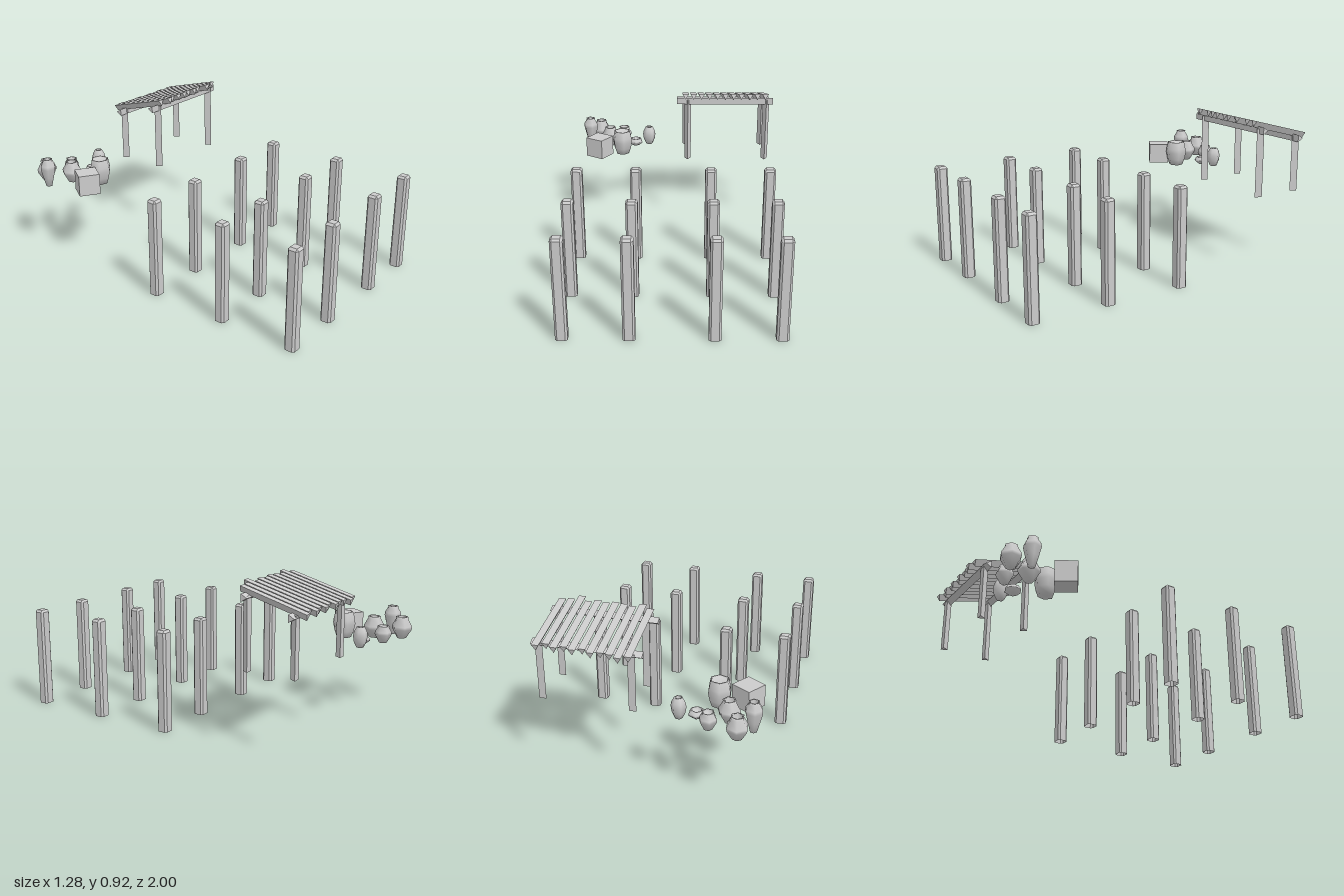
import * as THREE from 'three';

const smooth = new THREE.MeshStandardMaterial({ color: 0xcccccc, side: THREE.DoubleSide });
const flat = new THREE.MeshStandardMaterial({ color: 0xcccccc, side: THREE.DoubleSide, flatShading: true });
const FLOOR = 0.45; // level on which the shelter and the pots stand

function add(parent, name, geometry, material, x, y, z) {
  const mesh = new THREE.Mesh(geometry, material);
  mesh.name = name;
  mesh.position.set(x, y, z);
  parent.add(mesh);
  return mesh;
}

// Square post with chamfered corners, a bevelled top and an open foot
function postGeometry() {
  const ring = (h, c, y) => {
    const k = h - c;
    return [[h, -k], [h, k], [k, h], [-k, h], [-h, k], [-h, -k], [-k, -h], [k, -h]]
      .flatMap(([x, z]) => [x, y, z * 0.95]);
  };
  const positions = [...ring(0.034, 0.012, 0), ...ring(0.034, 0.012, 0.584), ...ring(0.022, 0, 0.597), 0, 0.597, 0];
  const index = [];
  for (let i = 0; i < 8; i++) {
    const j = (i + 1) % 8;
    for (const r of [0, 8]) index.push(r + i, r + 8 + i, r + j, r + j, r + 8 + i, r + 8 + j);
    index.push(16 + i, 24, 16 + j);
  }
  const g = new THREE.BufferGeometry();
  g.setAttribute('position', new THREE.Float32BufferAttribute(positions, 3));
  g.setIndex(index);
  g.computeVertexNormals();
  return g;
}

// Three-sided timber, upright with one edge toward +z
const timber = (length, r = 0.0245) => new THREE.CylinderGeometry(r, r, length, 3);

function createShelter() {
  const shelter = new THREE.Group();
  shelter.name = 'shelter';

  // Legs: taller pair at the front
  for (const [name, z, top, xs] of [['frontLeg', -0.53, 0.86, [0.08, 0.592]], ['backLeg', -0.813, 0.79, [0.068, 0.588]]]) {
    for (const x of xs) add(shelter, name, timber(top - FLOOR), flat, x, (top + FLOOR) / 2, z);
  }

  // Cross beams with a flat face to the front
  for (const [name, y, z] of [['frontBeam', 0.852, -0.529], ['backBeam', 0.778, -0.807]]) {
    add(shelter, name, timber(0.627).rotateY(Math.PI).rotateZ(Math.PI / 2), flat, 0.322, y, z);
  }

  // Sloping roof slats of uneven length, flat side up
  const slope = 0.265;
  const frontEnds = [-0.49, -0.46, -0.485, -0.475, -0.468, -0.48, -0.47, -0.485, -0.448, -0.48, -0.488];
  const backEnds = [-0.88, -0.897, -0.88, -0.875, -0.885, -0.865, -0.88, -0.865, -0.88, -0.86, -0.88];
  frontEnds.forEach((front, i) => {
    const z = (front + backEnds[i]) / 2;
    const length = (front - backEnds[i]) / Math.cos(slope);
    const y = 0.907 + 0.27 * (z + 0.447);
    const slat = add(shelter, 'roofSlat', timber(length).rotateX(Math.PI / 2), flat, 0.066 + i * 0.0517, y, z);
    slat.rotation.x = -slope;
  });
  return shelter;
}

// Six-sided pot: outer profile [radius, height], then a rim and a hollow down to the given depth
function potGeometry(profile, rimWidth, depth) {
  const [r, h] = profile[profile.length - 1];
  const inner = r - rimWidth;
  const points = [[0, 0], ...profile, [inner, h], [inner * 0.95, h - depth], [0, h - depth]];
  return new THREE.LatheGeometry(points.map(([x, y]) => new THREE.Vector2(x, y)), 6);
}

function createPots() {
  const pots = new THREE.Group();
  pots.name = 'pots';
  const jar = [[0.028, 0], [0.06, 0.055], [0.062, 0.073], [0.037, 0.118], [0.038, 0.13]];
  const specs = [
    // name, x, z, turn, rim width, hollow depth, profile
    ['barrelPot', -0.361, -0.632, 0.2, 0.008, 0.012, [[0.045, 0], [0.06, 0.04], [0.069, 0.085], [0.066, 0.11], [0.055, 0.157]]],
    ['wideJar', -0.528, -0.936, 0.15, 0.01, 0.06, jar],
    ['wideJar', -0.453, -0.788, 0.5, 0.01, 0.06, jar],
    ['tallJar', -0.594, -0.848, 0.3, 0.009, 0.07, [[0.02, 0], [0.036, 0.06], [0.05, 0.115], [0.048, 0.135], [0.03, 0.165], [0.031, 0.175]]],
    ['roundPot', -0.363, -0.886, 0.4, 0.008, 0.025, [[0.024, 0], [0.05, 0.05], [0.048, 0.065], [0.033, 0.09], [0.036, 0.1]]],
    ['shallowBowl', -0.278, -0.791, 0.1, 0.007, 0.02, [[0.024, 0], [0.05, 0.022], [0.047, 0.03], [0.035, 0.047]]],
    ['ovalJar', -0.186, -0.82, 0.6, 0.008, 0.05, [[0.022, 0], [0.038, 0.035], [0.043, 0.07], [0.038, 0.095], [0.024, 0.122]]],
  ];
  for (const [name, x, z, turn, rim, depth, profile] of specs) {
    add(pots, name, potGeometry(profile, rim, depth), smooth, x, FLOOR, z).rotation.y = turn;
  }
  return pots;
}

export function createModel() {
  const model = new THREE.Group();
  model.name = 'postsAndShelter';

  // Grid of free-standing posts
  const post = postGeometry();
  for (const x of [-0.598, -0.24, 0.217, 0.576]) {
    for (const z of [0.03, 0.507, 0.967]) add(model, 'post', post, flat, x, 0, z);
  }

  model.add(createShelter(), createPots());

  // Crate beside the pots
  add(model, 'crate', new THREE.BoxGeometry(0.127, 0.127, 0.127), flat, -0.512, FLOOR + 0.0635, -0.592).rotation.y = -0.56;
  return model;
}
